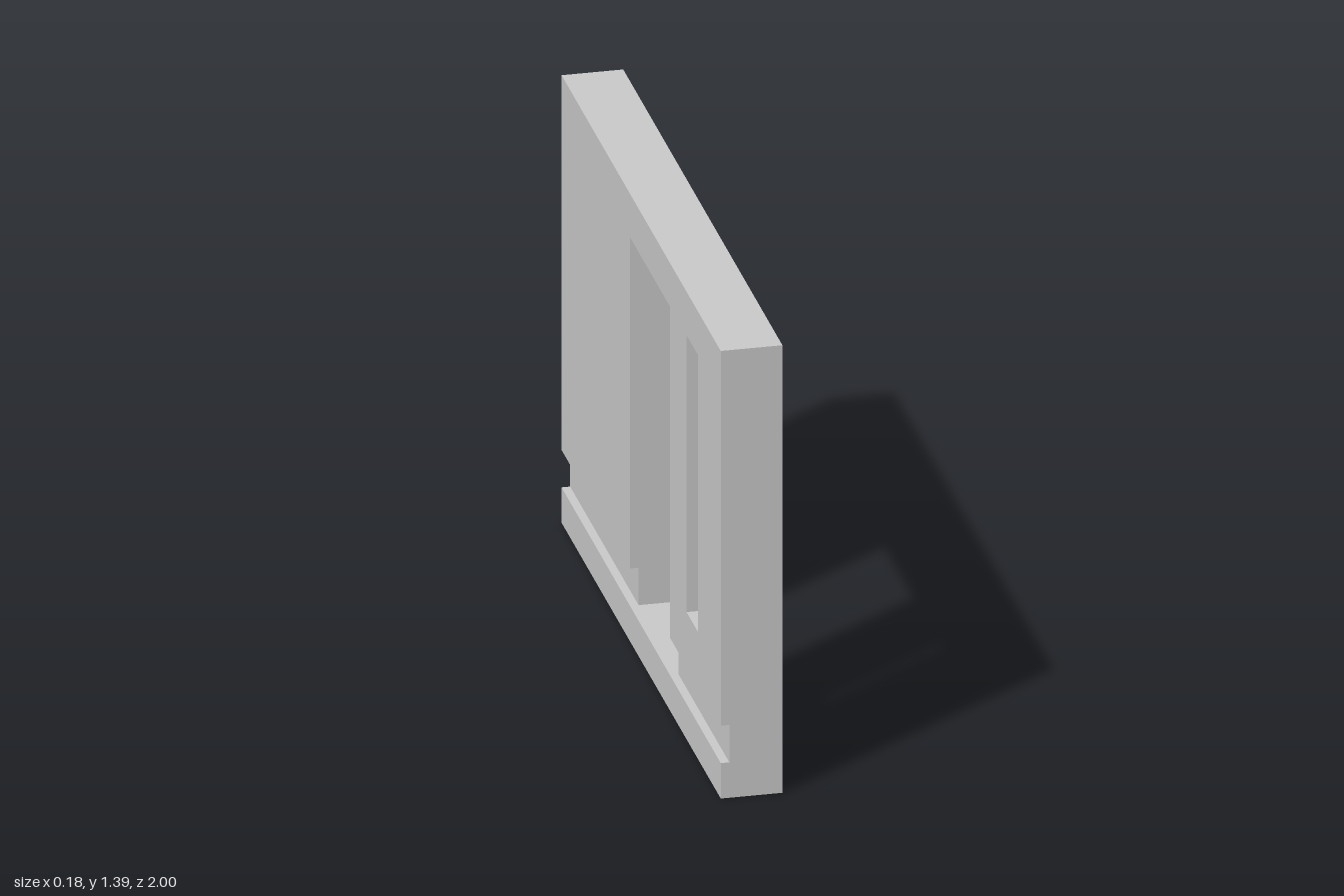
import * as THREE from 'three';

const LENGTH = 2, HEIGHT = 1.39, HALF = 0.09;
const GROOVE = { y0: 0.11, y1: 0.226, x: -0.065 };
const DOOR = { z0: -0.14, z1: 0.36, y0: 0.11, y1: 1.255 };
const WINDOW = { z0: 0.57, z1: 0.715, y0: 0.395, y1: 1.255 };

const trace = (path, pts) => {
  pts.forEach(([z, y], i) => (i ? path.lineTo(z, y) : path.moveTo(z, y)));
  path.closePath();
  return path;
};
const corners = ({ z0, z1, y0, y1 }) => [[z0, y0], [z1, y0], [z1, y1], [z0, y1]];

export function createModel() {
  const group = new THREE.Group();
  group.name = 'wallPanel';
  const material = new THREE.MeshStandardMaterial({ color: 0xcccccc });

  // Extrudes a (z, y) outline with rectangular openings between two x positions
  const addLayer = (name, outline, openings, x0, x1) => {
    const shape = trace(new THREE.Shape(), outline);
    for (const o of openings) shape.holes.push(trace(new THREE.Path(), corners(o)));
    const geometry = new THREE.ExtrudeGeometry(shape, { depth: x1 - x0, bevelEnabled: false });
    geometry.rotateY(-Math.PI / 2).translate(x1, 0, 0);
    const mesh = new THREE.Mesh(geometry, material);
    mesh.name = name;
    group.add(mesh);
  };

  const e = LENGTH / 2;

  // Main slab with the door and window openings
  addLayer('wallSlab', corners({ z0: -e, z1: e, y0: 0, y1: HEIGHT }), [DOOR, WINDOW], GROOVE.x, HALF);

  // Facing above the groove, notched around the doorway
  addLayer('upperFacing', [
    [-e, GROOVE.y1], [DOOR.z0, GROOVE.y1], [DOOR.z0, DOOR.y1], [DOOR.z1, DOOR.y1],
    [DOOR.z1, GROOVE.y1], [e, GROOVE.y1], [e, HEIGHT], [-e, HEIGHT],
  ], [WINDOW], -HALF, GROOVE.x);

  // Facing below the groove, level with the door sill
  addLayer('lowerFacing', corners({ z0: -e, z1: e, y0: 0, y1: GROOVE.y0 }), [], -HALF, GROOVE.x);

  return group;
}
